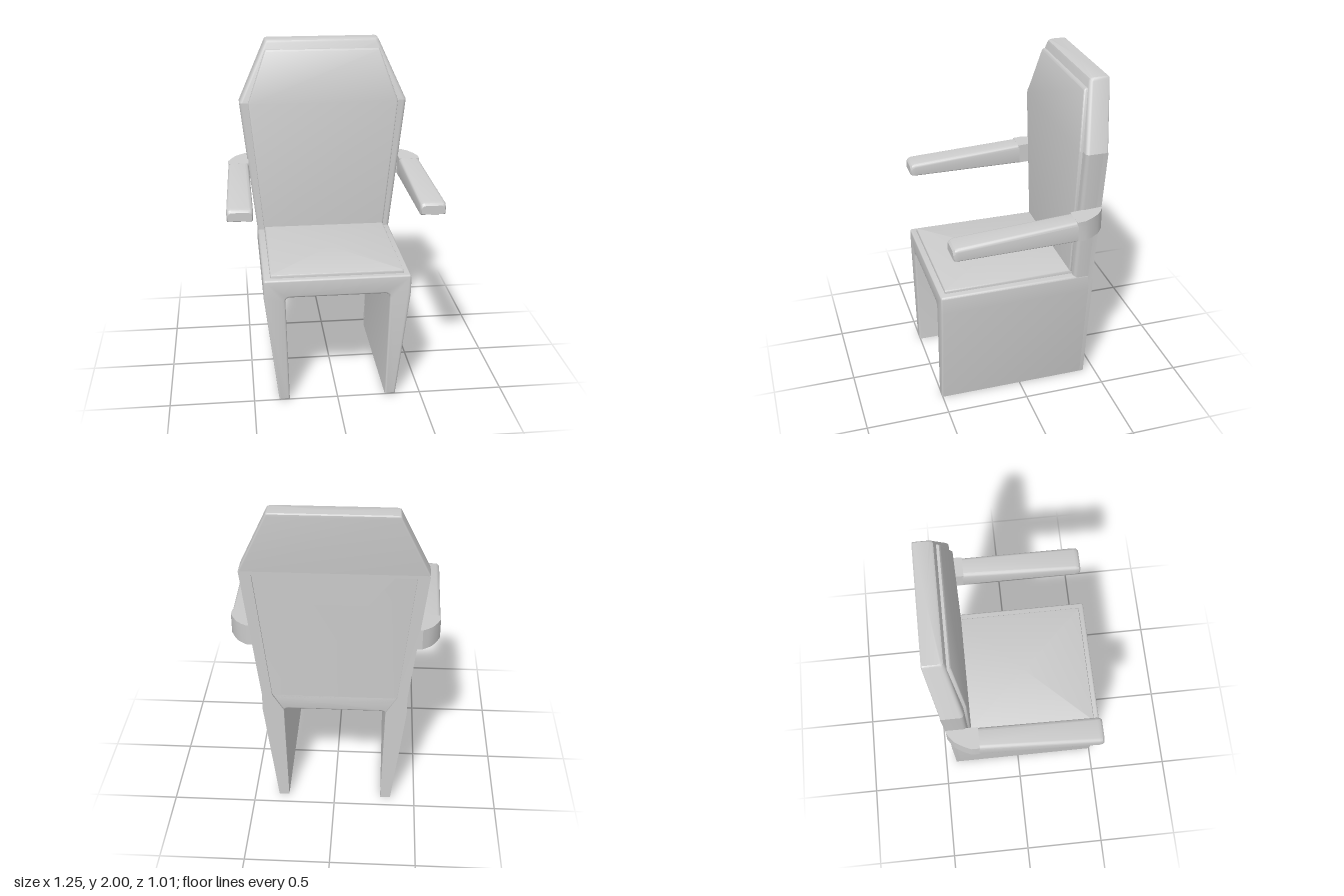
import * as THREE from 'three';
import { toCreasedNormals } from 'three/addons/utils/BufferGeometryUtils.js';

const material = new THREE.MeshStandardMaterial({ color: 0xcccccc });

function part(name, geometry, parent) {
  const mesh = new THREE.Mesh(toCreasedNormals(geometry, 0.55), material);
  mesh.name = name;
  parent.add(mesh);
  return mesh;
}

// Counter-clockwise rectangle with separate corner radii on its low and high sides
function section(u0, u1, v0, v1, rLow, rHigh) {
  const pts = [];
  const corners = [[u0, v0, rLow, 2], [u1, v0, rLow, 3], [u1, v1, rHigh, 0], [u0, v1, rHigh, 1]];
  for (const [u, v, r, q] of corners) {
    const cu = u === u0 ? u + r : u - r;
    const cv = v === v0 ? v + r : v - r;
    for (let i = 0; i <= 4; i++) {
      const a = (q + i / 4) * Math.PI / 2;
      pts.push([cu + r * Math.cos(a), cv + r * Math.sin(a)]);
    }
  }
  return pts;
}

// Skin a series of closed rings and cap both ends
function loft(rings) {
  const pos = [];
  const tri = (a, b, c) => pos.push(...a, ...b, ...c);
  const centre = ring => [0, 1, 2].map(k => ring.reduce((s, p) => s + p[k], 0) / ring.length);
  const n = rings[0].length, first = rings[0], last = rings[rings.length - 1];
  const c0 = centre(first), c1 = centre(last);
  for (let i = 0; i < n; i++) {
    const j = (i + 1) % n;
    for (let k = 0; k < rings.length - 1; k++) {
      const a = rings[k], b = rings[k + 1];
      tri(a[i], a[j], b[j]);
      tri(a[i], b[j], b[i]);
    }
    tri(c0, first[j], first[i]);
    tri(c1, last[i], last[j]);
  }
  const g = new THREE.BufferGeometry();
  g.setAttribute('position', new THREE.Float32BufferAttribute(pos, 3));
  return g;
}

// Upright slab from rows of [y, half width, front z, back z]
function slab(rows, rFront, rBack) {
  return loft(rows.map(([y, w, zf, zb]) =>
    section(-w, w, -zf, -zb, rFront, rBack).map(([x, v]) => [x, y, -v])));
}

const shapeOf = pts => new THREE.Shape(pts.map(p => new THREE.Vector2(...p)));

// Complete a right-hand run of points with its mirror image
const mirrored = pts => [...pts, ...pts.map(([x, y]) => [-x, y]).reverse()];

// Move vertices by a rule
function reshape(geometry, rule) {
  const p = geometry.attributes.position, v = new THREE.Vector3();
  for (let i = 0; i < p.count; i++) {
    rule(v.fromBufferAttribute(p, i));
    p.setXYZ(i, v.x, v.y, v.z);
  }
  return geometry;
}

function createModel() {
  const chair = new THREE.Group();
  chair.name = 'chair';

  // Arch-shaped base: two slab legs joined by the seat
  const arch = new THREE.Shape();
  arch.moveTo(0.288, 0);
  arch.lineTo(0.35, 0);
  arch.lineTo(0.43, 0.67);
  arch.lineTo(0.43, 0.765);
  arch.quadraticCurveTo(0.43, 0.782, 0.413, 0.782);
  arch.lineTo(-0.413, 0.782);
  arch.quadraticCurveTo(-0.43, 0.782, -0.43, 0.765);
  arch.lineTo(-0.43, 0.67);
  arch.lineTo(-0.35, 0);
  arch.lineTo(-0.288, 0);
  arch.lineTo(-0.305, 0.64);
  arch.quadraticCurveTo(-0.305, 0.67, -0.275, 0.67);
  arch.lineTo(0.275, 0.67);
  arch.quadraticCurveTo(0.305, 0.67, 0.305, 0.64);
  const bevel = 0.012;
  const base = new THREE.ExtrudeGeometry(arch, {
    depth: 0.924 - 2 * bevel, bevelThickness: bevel, bevelSize: bevel,
    bevelOffset: -bevel, bevelSegments: 3, curveSegments: 5,
  });
  base.translate(0, 0, -0.418 + bevel);
  part('seatBase', base, chair);

  // Seat cushion with a softened rim
  part('seatCushion', slab([
    [0.77, 0.388, 0.472, -0.32],
    [0.795, 0.388, 0.472, -0.32],
    [0.801, 0.385, 0.469, -0.32],
    [0.804, 0.378, 0.462, -0.32],
  ], 0.008, 0.004), chair);

  // Backrest: straight lower shell and a headrest leaning back
  part('backrestShell', slab([
    [0.72, 0.425, -0.31, -0.418],
    [0.78, 0.43, -0.31, -0.418],
    [1.62, 0.525, -0.315, -0.433],
  ], 0.022, 0.002), chair);
  part('headrestShell', slab([
    [1.62, 0.525, -0.315, -0.445],
    [1.98, 0.361, -0.382, -0.502],
    [1.994, 0.355, -0.388, -0.502],
    [2.0, 0.348, -0.398, -0.495],
  ], 0.022, 0.01), chair);

  // Backrest cushion, creased where the headrest begins
  part('backrestCushion', slab([
    [0.795, 0.386, -0.302, -0.35],
    [0.803, 0.39, -0.296, -0.35],
    [1.62, 0.47, -0.296, -0.36],
    [1.932, 0.36, -0.352, -0.42],
    [1.942, 0.355, -0.36, -0.42],
  ], 0.01, 0.004), chair);

  // Raised rear border that leaves a recessed, notched panel
  const border = new THREE.ExtrudeGeometry(shapeOf(mirrored([
    [0.19, 1.42], [0.33, 1.6], [0.455, 1.6], [0.37, 0.78], [0.304, 0.67],
    [0.288, 0], [0.35, 0], [0.43, 0.67], [0.43, 0.78], [0.525, 1.62],
  ])), { depth: 0.03, bevelEnabled: false });
  border.translate(0, 0, -0.43);
  part('rearBorder', reshape(border, v => {
    v.z -= 0.015 * Math.max(0, (v.y - 0.78) / 0.84);
  }), chair);

  // Armrests, each a tapering pad on a bent bracket
  for (const side of [1, -1]) {
    const arm = new THREE.Group();
    arm.name = side > 0 ? 'leftArmrest' : 'rightArmrest';
    arm.scale.x = side;
    chair.add(arm);

    const padRows = [
      [-0.256, 0.477, 0.605, 1.13, 1.253],
      [0.44, 0.475, 0.625, 1.133, 1.21],
      [0.46, 0.477, 0.623, 1.134, 1.203],
      [0.471, 0.483, 0.617, 1.14, 1.19],
    ];
    part('armPad', loft(padRows.map(([z, x0, x1, y0, y1]) =>
      section(x0, x1, y0, y1, 0.008, 0.022).map(([x, y]) => [x, y, z]))), arm);

    const outline = [
      [0.45, 0.435], [0.5, 0.435], [0.53, 0.415], [0.558, 0.39], [0.585, 0.345],
      [0.605, 0.3], [0.605, 0.25], [0.478, 0.25], [0.478, 0.33], [0.45, 0.345],
    ].reverse();
    const bracket = new THREE.ExtrudeGeometry(shapeOf(outline), { depth: 0.12, bevelEnabled: false });
    bracket.rotateX(-Math.PI / 2);
    part('armBracket', reshape(bracket, v => {
      const t = (-0.25 - v.z) / 0.185;
      v.y = v.y > 0.06 ? 1.253 + 0.012 * t : 1.131 + 0.005 * t;
    }), arm);
  }

  return chair;
}

export { createModel };
